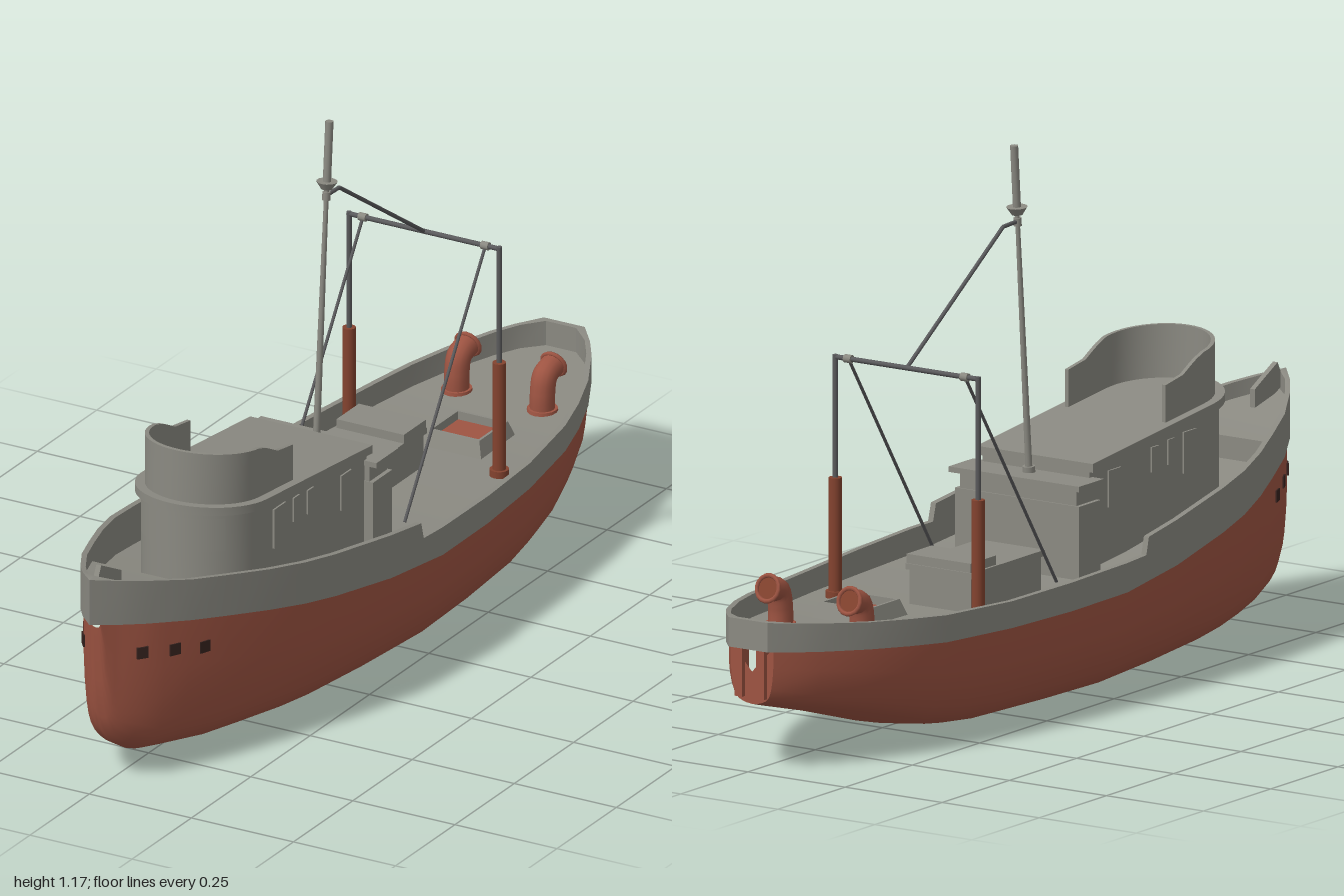
import * as THREE from 'three';
import { toCreasedNormals } from 'three/addons/utils/BufferGeometryUtils.js';

const mat = (name, color) => Object.assign(new THREE.MeshStandardMaterial({ color }), { name });

// Piecewise linear lookup in a list of [z, value]
const lookup = (table) => (z) => {
  if (z <= table[0][0]) return table[0][1];
  for (let i = 1; i < table.length; i++) {
    const [z0, v0] = table[i - 1], [z1, v1] = table[i];
    if (z <= z1) return v0 + (v1 - v0) * (z - z0) / (z1 - z0);
  }
  return table[table.length - 1][1];
};

const halfWidth = lookup([[-1, .05], [-.95, .092], [-.9, .125], [-.8, .175], [-.7, .21], [-.6, .235], [-.4, .265],
  [-.2, .28], [0, .285], [.2, .275], [.4, .255], [.5, .24], [.6, .212], [.7, .175], [.8, .135], [.9, .08], [.95, .045], [1, 0]]);
const sheer = lookup([[-1, .275], [-.8, .26], [-.6, .245], [-.3, .24], [0, .245], [.2, .265], [.4, .295], [.6, .33], [.8, .365], [1, .4]]);
const railTop = lookup([[-1, .335], [-.8, .315], [-.6, .3], [-.4, .296], [-.2, .3], [.075, .307], [.085, .345], [.2, .36], [.4, .388], [.6, .42], [.8, .455], [1, .5]]);
const keel = lookup([[-.985, .15], [-.95, .14], [-.8, .1], [-.6, .04], [-.5, .02], [-.4, .011], [0, .005], [.4, .014], [.7, .03],
  [.85, .055], [.9, .085], [.93, .12], [.945, .16], [.96, .25], [.972, .38]]);

// Skin between equal-length cross-sections of [x, y, z]
function loft(sections, closed, crease = 0.6) {
  const pos = [], n = sections[0].length;
  for (let i = 0; i < sections.length - 1; i++) {
    for (let j = 0; j < (closed ? n : n - 1); j++) {
      const k = (j + 1) % n;
      const a = sections[i][j], b = sections[i][k], c = sections[i + 1][k], d = sections[i + 1][j];
      pos.push(...a, ...b, ...d, ...b, ...c, ...d);
    }
  }
  const g = new THREE.BufferGeometry();
  g.setAttribute('position', new THREE.Float32BufferAttribute(pos, 3));
  return toCreasedNormals(g, crease);
}
const collapse = (section, p) => section.map(() => p);

// Upright slab over a plan outline of [x, z], with sloping bottom and top
function slab(plan, y0, y1) {
  const shape = new THREE.Shape(plan.map(([x, z]) => new THREE.Vector2(x, -z)));
  const g = new THREE.ExtrudeGeometry(shape, { depth: 1, bevelEnabled: false }).rotateX(-Math.PI / 2);
  const p = g.attributes.position;
  for (let i = 0; i < p.count; i++) {
    const z = p.getZ(i);
    p.setY(i, p.getY(i) > 0.5 ? y1(z) : y0(z));
  }
  return toCreasedNormals(g, 0.6);
}

// U-shaped path, from the left rear round the front to the right rear
function uPath(r, centre, rear, side = [rear]) {
  const pts = side.map((z) => [r, z]);
  for (let i = 0; i <= 24; i++) {
    const a = Math.PI * i / 24;
    pts.push([r * Math.cos(a), centre + r * Math.sin(a)]);
  }
  return pts.concat(side.slice().reverse().map((z) => [-r, z]));
}

export function createModel() {
  const ship = new THREE.Group();
  ship.name = 'ship';
  const red = mat('hull red', 0x9e5442), grey = mat('deck grey', 0x8b8a82);
  const darkRed = mat('post red', 0x84432f), metal = mat('dark metal', 0x5a5a5c), black = mat('porthole dark', 0x35221e);

  const add = (name, geo, m, parent = ship) => {
    const mesh = new THREE.Mesh(geo, m);
    mesh.name = name;
    parent.add(mesh);
    return mesh;
  };
  const box = (name, x0, x1, y0, y1, z0, z1, m = grey) => {
    const mesh = add(name, new THREE.BoxGeometry(x1 - x0, y1 - y0, z1 - z0), m);
    mesh.position.set((x0 + x1) / 2, (y0 + y1) / 2, (z0 + z1) / 2);
    return mesh;
  };
  const rod = (name, a, b, r, m = grey, r2 = r, sides = 10) => {
    const va = new THREE.Vector3(...a), vb = new THREE.Vector3(...b), d = vb.clone().sub(va);
    const mesh = add(name, new THREE.CylinderGeometry(r2, r, d.length(), sides), m);
    mesh.position.copy(va).add(vb).multiplyScalar(0.5);
    mesh.quaternion.setFromUnitVectors(new THREE.Vector3(0, 1, 0), d.normalize());
    return mesh;
  };

  // Hull
  const hullZ = [-.985, -.95, -.9, -.8, -.7, -.6, -.5, -.4, -.2, 0, .2, .4, .5, .6, .7, .8, .85, .9, .93, .945, .96, .972];
  const profile = [[0, 0], [.25, .012], [.45, .035], [.62, .07], [.76, .125], [.84, .19], [.9, .28], [.965, .45], [1, .65], [1, 1]];
  const hullWidth = (z) => Math.max(.003, (halfWidth(z) - .008) * (z > .9 ? (.975 - z) / .075 * .4 + .6 : 1));
  const hullSections = hullZ.map((z) => {
    const half = profile.map(([u, v]) => [u * hullWidth(z), keel(z) + v * (sheer(z) + .004 - keel(z)), z]);
    return [...half.slice(1).reverse().map(([x, y, zz]) => [-x, y, zz]), ...half];
  });
  hullSections.unshift(collapse(hullSections[0], [0, .22, -.985]));
  add('hull', loft(hullSections, false, 0.8), red);
  for (const s of [-1, 1]) box('sternRib', s * .028 - .01, s * .028 + .01, .165, .277, -.996, -.97, red);

  // Bulwark on both sides, closed across the stern
  const zs = [-1, -.95, -.9, -.85, -.8, -.7, -.6, -.5, -.4, -.2, 0, .075, .085, .2, .3, .4, .5, .6, .7, .8, .85, .9, .95, 1];
  const rim = [[-1, 0], ...zs.map((z) => [z, halfWidth(z)])].map(([z, w]) => {
    const wi = Math.max(0, w - .013), zi = Math.min(.975, Math.max(-.986, z)), lo = sheer(z) - .004, hi = railTop(z);
    return [[w, lo, z], [w, hi, z], [wi, hi, zi], [wi, lo, zi]];
  });
  add('bulwarkLeft', loft(rim, true), grey);
  add('bulwarkRight', loft(rim.map((s) => s.map(([x, y, z]) => [-x, y, z]).reverse()), true), grey);

  // Main deck, raised foredeck and the step between them
  const deckRow = (z, y) => {
    const w = Math.max(.002, halfWidth(z) - .007);
    return [[w, y, z], [-w, y, z]];
  };
  const aft = [-.99, ...zs.filter((z) => z > -1 && z < .73), .73].map((z) => deckRow(z, sheer(z) + .005));
  const fore = [.73, .8, .85, .9, .95, .98].map((z) => deckRow(z, railTop(z) - .035));
  add('deck', loft([...aft, ...fore], false), grey);

  // Stem fin on the foredeck
  const fin = new THREE.Shape([[-.985, .47], [-.96, .52], [-.875, .477], [-.875, .42]].map(([a, b]) => new THREE.Vector2(a, b)));
  add('stemFin', new THREE.ExtrudeGeometry(fin, { depth: .012, bevelEnabled: false })
    .rotateY(Math.PI / 2).translate(-.006, 0, 0), grey);

  // Portholes near the bow
  for (const s of [-1, 1]) for (const [z, y] of [[.9, .31], [.83, .3], [.76, .287]]) {
    const p = add('porthole', new THREE.BoxGeometry(.006, .026, .026), black);
    p.position.set(s * hullWidth(z), y, z);
    p.rotation.y = s * -Math.atan2(hullWidth(z + .02) - hullWidth(z - .02), -.04) + s * Math.PI;
  }

  // Deckhouse with sloping, overhanging roof
  const eaves = (z) => .472 + (z - .08) * .1;
  const roof = (z) => eaves(z) + .019;
  add('deckhouse', slab(uPath(.138, .508, .07), () => .245, eaves), grey);
  add('roof', slab(uPath(.15, .51, .065), eaves, roof), grey);
  const panel = add('frontPanel', new THREE.CylinderGeometry(.141, .141, .075, 16, 1, true, -.82, 1.64), grey);
  panel.position.set(0, .477, .508);
  for (const s of [-1, 1]) {
    for (const [z, y0, y1, w] of [[.44, .4, .49, .05], [.37, .43, .485, .025], [.31, .425, .48, .025], [.16, .38, .46, .045]])
      box('housePanel', s * .139 - .003, s * .139 + .003, y0, y1, z - w / 2, z + w / 2);
  }

  // Curved screen round the open bridge
  const screenTop = lookup([[.36, .6], [.43, .611], [.47, .632], [.5, .645], [.64, .663]]);
  const side = [.365, .4, .43, .46, .48];
  const outer = uPath(.13, .508, 0, side), inner = uPath(.121, .508, 0, side);
  const screen = outer.map(([x, z], i) => {
    const [xi, zi] = inner[i], y0 = roof(z) - .01, y1 = screenTop(z);
    return [[x, y0, z], [x, y1, z], [xi, y1, zi], [xi, y0, zi]];
  });
  const last = screen[screen.length - 1];
  add('bridgeScreen', loft([collapse(screen[0], screen[0][0]), ...screen, collapse(last, last[0])], true), grey);

  // Locker behind the house carrying the mast
  box('lockerBase', -.16, .16, .245, .41, 0, .08);
  box('lockerUpper', -.15, .15, .41, .447, .004, .078);
  box('lockerLid', -.168, .168, .445, .457, -.012, .08);

  // Mast, leaning aft
  const mastAt = (y) => [0, y, .045 - (y - .45) * .077];
  rod('mast', mastAt(.45), mastAt(1.04), .008, grey, .005);
  rod('mastFoot', mastAt(.45), mastAt(.47), .014);
  rod('mastCollar', mastAt(1.0), mastAt(1.018), .009);
  rod('mastCup', mastAt(1.025), mastAt(1.042), .012, grey, .023, 14);
  rod('topPole', mastAt(1.04), mastAt(1.177), .009);

  // Goal-post frame with stays
  const fz = -.41;
  for (const s of [-1, 1]) {
    rod('postSleeve', [s * .184, .24, fz], [s * .184, .508, fz], .0145, darkRed, .0145, 14);
    rod('postFoot', [s * .184, .24, fz], [s * .184, .262, fz], .021, darkRed, .021, 14);
    rod('post', [s * .184, .5, fz], [s * .184, .775, fz], .006, metal);
    rod('stay', [s * .15, .77, fz], [s * .15, .26, -.07], .0035, metal);
    rod('stayRing', [s * .15 - .009, .77, fz], [s * .15 + .009, .77, fz], .009);
  }
  rod('crossbar', [-.188, .77, fz], [.188, .77, fz], .0055, metal);
  rod('mastStayArm', mastAt(1.01), [0, 1.008, -.052], .0045, metal);
  rod('mastStay', [0, 1.008, -.052], [0, .77, fz], .0045, metal);

  // Cargo hatch with raised lid
  box('hatch', -.138, .021, .24, .325, -.37, -.11);
  box('hatchTop', -.144, .027, .322, .335, -.375, -.104);
  box('hatchLid', -.138, .027, .335, .355, -.372, -.278);

  // Skylight: sloping frame round a red pane
  const frameRing = (hx, hz, y) => [[hx, hz], [hx, -hz], [-hx, -hz], [-hx, hz]].map(([x, z]) => [x + .037, y, z - .532]);
  add('skylightFrame', loft([frameRing(.075, .074, .243), frameRing(.062, .06, .283), frameRing(.056, .053, .283), frameRing(.056, .053, .255)], true), grey);
  box('skylightPane', -.02, .094, .255, .264, -.586, -.478, red);

  // Cowl vents facing aft
  for (const s of [-1, 1]) {
    const vent = new THREE.Group();
    vent.name = 'cowlVent';
    vent.position.set(s * .105, 0, 0);
    ship.add(vent);
    const path = new THREE.CatmullRomCurve3([[.24, -.728], [.3, -.728], [.335, -.738], [.347, -.775]].map(([y, z]) => new THREE.Vector3(0, y, z)));
    add('ventPipe', new THREE.TubeGeometry(path, 14, .027, 14), red, vent);
    const end = path.getPoint(1), dir = path.getTangent(1);
    const lip = add('ventLip', new THREE.TorusGeometry(.028, .005, 6, 16), red, vent);
    const mouth = add('ventMouth', new THREE.CircleGeometry(.027, 16), darkRed, vent);
    for (const m of [lip, mouth]) {
      m.position.copy(end);
      m.quaternion.setFromUnitVectors(new THREE.Vector3(0, 0, 1), dir);
    }
    const foot = add('ventFoot', new THREE.CylinderGeometry(.033, .036, .02, 16), red, vent);
    foot.position.set(0, .255, -.728);
  }
  return ship;
}
